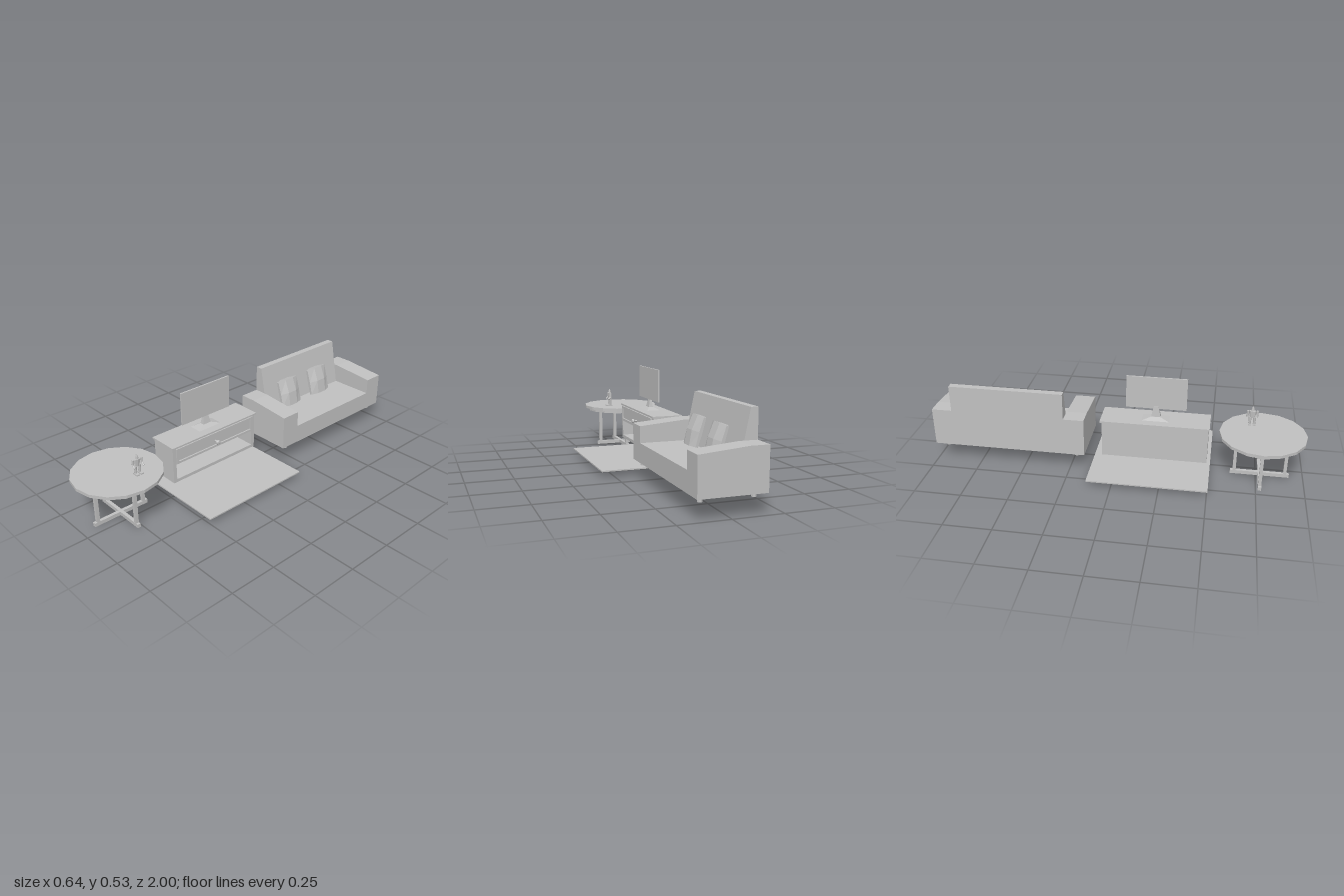
import * as THREE from 'three';

const grey = new THREE.MeshStandardMaterial({ color: 0xc0c0c0 });
grey.name = 'lightGrey';

function add(parent, name, geo, x = 0, y = 0, z = 0) {
  const m = new THREE.Mesh(geo, grey);
  m.name = name;
  m.position.set(x, y, z);
  parent.add(m);
  return m;
}

// box given by its limits on each axis
function box(parent, name, x0, x1, y0, y1, z0, z1) {
  return add(parent, name, new THREE.BoxGeometry(x1 - x0, y1 - y0, z1 - z0),
    (x0 + x1) / 2, (y0 + y1) / 2, (z0 + z1) / 2);
}

// x-y outline pulled from z0 to z1
function profile(parent, name, pts, z0, z1) {
  const shape = new THREE.Shape(pts.map(p => new THREE.Vector2(p[0], p[1])));
  return add(parent, name, new THREE.ExtrudeGeometry(shape, { depth: z1 - z0, bevelEnabled: false }), 0, 0, z0);
}

function cylinder(r0, r1, h, n) {
  return new THREE.CylinderGeometry(r0, r1, h, n).toNonIndexed();
}

function flat(geo) {
  const g = geo.index ? geo.toNonIndexed() : geo;
  g.computeVertexNormals();
  return g;
}

function group(parent, name) {
  const g = new THREE.Group();
  g.name = name;
  parent.add(g);
  return g;
}

// cushion thins toward its left and right edges and bulges at mid height
function cushionGeometry() {
  const g = new THREE.BoxGeometry(1, 0.155, 0.15, 1, 2, 3);
  const p = g.attributes.position;
  for (let i = 0; i < p.count; i++) {
    const edge = Math.abs(p.getZ(i)) > 0.05;
    const mid = Math.abs(p.getY(i)) < 0.01;
    p.setX(i, p.getX(i) * (edge ? 0.012 : 0.042) * (mid ? 1.4 : 1));
    if (!edge) p.setZ(i, Math.sign(p.getZ(i)) * 0.03);
    else if (!mid) p.setY(i, p.getY(i) * 0.96);
  }
  return flat(g);
}

function buildSofa(root) {
  const sofa = group(root, 'sofa');
  box(sofa, 'seat', -0.17, 0.16, 0.098, 0.2, -0.89, -0.275);
  profile(sofa, 'backrest', [[-0.17, 0.2], [-0.083, 0.2], [-0.134, 0.452], [-0.17, 0.452]], -0.89, -0.275);
  const arm = [[-0.17, 0.098], [0.16, 0.098], [0.16, 0.286], [-0.08, 0.307], [-0.17, 0.307]];
  profile(sofa, 'leftArm', arm, -0.275, -0.165);
  profile(sofa, 'rightArm', arm, -1, -0.89);
  for (const x of [-0.127, 0.125])
    for (const z of [-0.215, -0.945])
      add(sofa, 'sofaLeg', flat(cylinder(0.0125, 0.0125, 0.025, 8)), x, 0.0855, z);
  for (const z of [-0.44, -0.688])
    add(sofa, 'cushion', cushionGeometry(), -0.066, 0.28, z).rotation.z = 0.29;
}

function buildCabinet(root) {
  const cab = group(root, 'cabinet');
  box(cab, 'cabinetTop', -0.142, 0.025, 0.289, 0.298, -0.085, 0.492);
  box(cab, 'cabinetBack', -0.132, -0.124, 0.09, 0.289, -0.075, 0.487);
  box(cab, 'cabinetSide', -0.124, 0.018, 0.09, 0.289, 0.467, 0.487);
  box(cab, 'cabinetSide', -0.124, 0.018, 0.09, 0.289, -0.075, -0.055);
  box(cab, 'shelf', -0.124, 0.018, 0.09, 0.107, -0.055, 0.467);
  box(cab, 'drawer', -0.124, 0.018, 0.194, 0.289, -0.055, 0.467);

  // raised rim around the drawer front
  const rim = group(cab, 'drawerRim');
  box(rim, 'rimBottom', 0.018, 0.026, 0.2, 0.212, -0.055, 0.467);
  box(rim, 'rimTop', 0.018, 0.026, 0.273, 0.285, -0.055, 0.467);
  for (const z of [-0.055, 0.455]) box(rim, 'rimSide', 0.018, 0.026, 0.212, 0.273, z, z + 0.012);

  const knob = new THREE.LatheGeometry(
    [[0, 0], [0.006, 0], [0.006, 0.013], [0.013, 0.02], [0.01, 0.029], [0, 0.031]]
      .map(p => new THREE.Vector2(p[0], p[1])), 10);
  add(cab, 'drawerKnob', flat(knob), 0.018, 0.232, 0.205).rotation.z = -Math.PI / 2;
}

function buildScreen(root) {
  const tv = group(root, 'television');
  box(tv, 'screen', -0.061, -0.052, 0.355, 0.534, 0.045, 0.365);
  // four-sided tapering block
  const taper = (name, cx, y0, y1, bx, bz, tx, tz, shift) => {
    const g = new THREE.BoxGeometry(1, y1 - y0, 1);
    const p = g.attributes.position;
    for (let i = 0; i < p.count; i++) {
      const top = p.getY(i) > 0;
      p.setX(i, p.getX(i) * (top ? tx : bx) + (top ? shift : 0));
      p.setZ(i, p.getZ(i) * (top ? tz : bz));
    }
    add(tv, name, flat(g), cx, (y0 + y1) / 2, 0.205);
  };
  taper('standBase', -0.059, 0.298, 0.312, 0.074, 0.145, 0.026, 0.05, 0);
  taper('standNeck', -0.059, 0.312, 0.368, 0.024, 0.05, 0.006, 0.026, -0.003);
}

function buildTable(root) {
  const table = group(root, 'roundTable');
  const cx = -0.0575, cz = 0.77;
  add(table, 'tableTop', flat(cylinder(0.228, 0.228, 0.016, 16)), cx, 0.246, cz);
  add(table, 'underTop', flat(cylinder(0.205, 0.205, 0.016, 16)), cx, 0.23, cz);
  box(table, 'footBeam', cx - 0.156, cx + 0.156, 0, 0.02, cz - 0.009, cz + 0.009);
  box(table, 'crossBeam', cx - 0.009, cx + 0.009, 0, 0.02, cz - 0.156, cz + 0.156);
  for (const [dx, dz] of [[1, 0], [-1, 0], [0, 1], [0, -1]]) {
    const x = cx + dx * 0.134, z = cz + dz * 0.134;
    box(table, 'tableLeg', x - 0.0085, x + 0.0085, 0.02, 0.222, z - 0.0085, z + 0.0085);
  }
}

function buildFigurine(root) {
  const fig = group(root, 'figurine');
  fig.position.set(0.032, 0.254, 0.71);
  for (const s of [-1, 1]) {
    const z = s * 0.012;
    box(fig, 'foot', -0.013, 0.022, 0, 0.007, z - 0.008, z + 0.008);
    add(fig, 'leg', flat(cylinder(0.008, 0.007, 0.04, 8)), -0.001, 0.027, z);
    add(fig, 'upperArm', flat(cylinder(0.006, 0.005, 0.034, 8)), 0.001, 0.066, s * 0.025);
    add(fig, 'forearm', flat(cylinder(0.005, 0.005, 0.02, 8)), 0.008, 0.05, s * 0.026).rotation.z = 0.8;
  }
  const torso = add(fig, 'torso', flat(cylinder(0.019, 0.014, 0.038, 8)), 0, 0.063, 0);
  torso.scale.x = 0.55;
  add(fig, 'neck', flat(cylinder(0.005, 0.005, 0.006, 8)), 0, 0.083, 0);
  add(fig, 'head', flat(cylinder(0.007, 0.009, 0.015, 8)), 0, 0.092, 0);
  add(fig, 'crest', flat(cylinder(0.003, 0.005, 0.008, 8)), 0, 0.103, 0);
}

export function createModel() {
  const root = new THREE.Group();
  root.name = 'livingRoomSet';
  buildSofa(root);
  buildCabinet(root);
  buildScreen(root);
  box(root, 'rug', -0.32, 0.32, 0.03, 0.037, -0.13, 0.505);
  buildTable(root);
  buildFigurine(root);
  return root;
}
